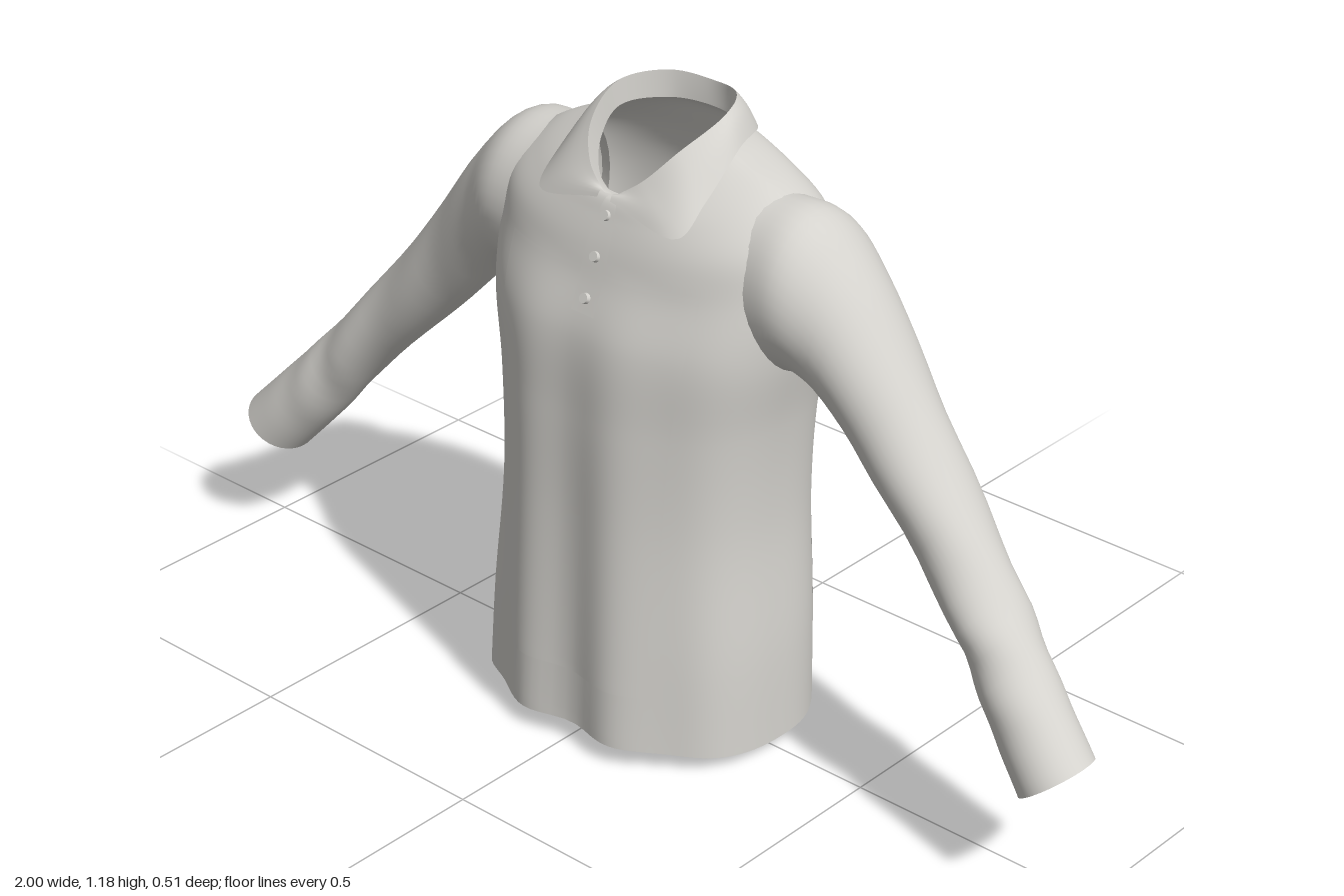
import * as THREE from 'three';

const V = (x, y, z) => new THREE.Vector3(x, y, z);
const spow = (v, e) => Math.sign(v) * Math.pow(Math.abs(v), e);
const TAU = Math.PI * 2;

// Smooth grid surface; point(u, v) with u, v in 0..1, optionally closed along u
function surface(point, nu, nv, closed) {
  const pos = [], idx = [], cols = closed ? nu : nu + 1;
  for (let j = 0; j <= nv; j++)
    for (let i = 0; i < cols; i++) pos.push(...point(i / nu, j / nv).toArray());
  for (let j = 0; j < nv; j++)
    for (let i = 0; i < nu; i++) {
      const a = j * cols + i, b = j * cols + (i + 1) % cols;
      idx.push(a, a + cols, b, b, a + cols, b + cols);
    }
  const g = new THREE.BufferGeometry();
  g.setAttribute('position', new THREE.Float32BufferAttribute(pos, 3));
  g.setIndex(idx);
  g.computeVertexNormals();
  return g;
}

// Torso rings: height at side, front, back, half width, front z, back z
const RINGS = [
  [0.015, 0.042, 0.0, 0.302, 0.247, -0.247],
  [0.2, 0.2, 0.2, 0.298, 0.236, -0.247],
  [0.45, 0.45, 0.45, 0.283, 0.218, -0.246],
  [0.65, 0.65, 0.65, 0.295, 0.205, -0.246],
  [0.8, 0.8, 0.8, 0.322, 0.188, -0.246],
  [0.92, 0.9, 0.95, 0.332, 0.15, -0.234],
  [1.02, 0.96, 1.02, 0.315, 0.13, -0.212],
  [1.075, 1.0, 1.07, 0.25, 0.113, -0.19],
  [1.11, 1.03, 1.11, 0.17, 0.098, -0.17],
  [1.13, 1.038, 1.125, 0.12, 0.085, -0.155],
];

function torsoPoint(angle, v, lift = 0) {
  const c = Math.cos(angle), s = Math.sin(angle);
  const pts = RINGS.map(([ys, yf, yb, hw, zf, zb]) => V(
    hw * spow(c, 0.8),
    ys + ((s > 0 ? yf : yb) - ys) * Math.abs(s),
    (zf + zb) / 2 + (zf - zb) / 2 * spow(s, 0.8)));
  const p = new THREE.CatmullRomCurve3(pts).getPoint(v);
  // Soft hanging folds that fade out toward the chest
  const fade = Math.max(0, 1 - v / 0.6);
  p.z += s * fade * 0.012 * Math.cos(p.x * 30 + (s > 0 ? 2.6 : 0.6) + p.y * 1.5);
  p.z += Math.sign(s) * lift;
  return p;
}

// Thin overlay that follows the torso between two angles (degrees) and two ring positions
function torsoPanel(a0, a1, r0, r1, lift, nu, nv) {
  return surface((u, v) => torsoPoint(THREE.MathUtils.degToRad(a1 + (a0 - a1) * u),
    (r0 + (r1 - r0) * v) / (RINGS.length - 1), lift), nu, nv, false);
}

// Sleeve sections: upper x, y, lower x, y, z centre, z half depth
const SLEEVE = [
  [0.24, 1.07, 0.27, 0.74, -0.045, 0.125],
  [0.33, 1.06, 0.335, 0.765, -0.05, 0.132],
  [0.42, 0.98, 0.39, 0.735, -0.055, 0.114],
  [0.58, 0.765, 0.51, 0.615, -0.048, 0.09],
  [0.79, 0.51, 0.715, 0.41, -0.015, 0.077],
  [0.9, 0.39, 0.81, 0.29, 0.015, 0.075],
  [1.0, 0.285, 0.89, 0.2, 0.04, 0.075],
];

function sleeveGeometry(side) {
  return surface((u, v) => {
    const a = side * u * TAU, k = Math.cos(a);
    const pts = SLEEVE.map(([ux, uy, lx, ly, zc, hz]) => V(
      side * ((ux + lx) / 2 + (ux - lx) / 2 * k),
      (uy + ly) / 2 + (uy - ly) / 2 * k,
      zc + hz * Math.sin(a)));
    const p = new THREE.CatmullRomCurve3(pts).getPoint(v);
    // Faint creases around the elbow
    const elbow = Math.exp(-Math.pow((v - 0.65) / 0.18, 2));
    p.z += 0.004 * elbow * Math.sin(v * 45 + a * 2 * side);
    return p;
  }, 36, 36, true);
}

// Collar line: one half from front to back, mirrored into a full loop
function collarCurve(half) {
  const left = half.map(p => V(...p));
  const right = half.slice(0, -1).map(([x, y, z]) => V(-x, y, z)).reverse();
  return new THREE.CatmullRomCurve3([...left, ...right]);
}

function collarGeometries() {
  const seam = collarCurve([[0.01, 1.035, 0.09], [0.06, 1.052, 0.066], [0.1, 1.09, 0.02],
    [0.118, 1.125, -0.05], [0.075, 1.125, -0.135], [0, 1.125, -0.155]]);
  const fold = collarCurve([[0.012, 1.045, 0.108], [0.06, 1.08, 0.09], [0.1, 1.13, 0.045],
    [0.12, 1.172, -0.05], [0.075, 1.177, -0.135], [0, 1.17, -0.162]]);
  const edge = collarCurve([[0.015, 1.04, 0.122], [0.16, 1.012, 0.112], [0.17, 1.06, 0.055],
    [0.157, 1.125, -0.05], [0.1, 1.115, -0.163], [0, 1.1, -0.186]]);
  const between = (a, b, bulge) => surface((u, v) => {
    const p = a.getPoint(u).lerp(b.getPoint(u), v);
    p.y += bulge * Math.sin(v * Math.PI);
    return p;
  }, 80, 6, false);
  return { stand: between(seam, fold, 0), leaf: between(fold, edge, 0.008) };
}

export function createModel() {
  const shirt = new THREE.Group();
  shirt.name = 'poloShirt';
  const fabric = new THREE.MeshStandardMaterial({ color: 0xd4d2cd, side: THREE.DoubleSide });
  fabric.name = 'paleGreyFabric';
  const add = (name, geometry) => {
    const mesh = new THREE.Mesh(geometry, fabric);
    mesh.name = name;
    shirt.add(mesh);
    return mesh;
  };

  // Body, open at hem and neck
  add('torso', surface((u, v) => torsoPoint(-u * TAU, v), 120, 60, true));

  // Stitched panels and button placket
  add('frontPanel', torsoPanel(54, 126, 0.7, 5.2, 0.003, 48, 40));
  add('backPanel', torsoPanel(227, 313, 0.7, 5.2, 0.003, 48, 40));
  add('placket', torsoPanel(87.5, 92.5, 4.4, 8.9, 0.006, 6, 20));

  // Sleeves
  add('leftSleeve', sleeveGeometry(1));
  add('rightSleeve', sleeveGeometry(-1));

  // Folded collar
  const collar = collarGeometries();
  add('collarStand', collar.stand);
  add('collarLeaf', collar.leaf);

  // Buttons
  for (const [y, z] of [[1.008, 0.118], [0.94, 0.146], [0.87, 0.172]]) {
    const button = add('button', new THREE.CylinderGeometry(0.009, 0.01, 0.008, 16));
    button.position.set(0, y, z);
    button.rotation.x = 1.15;
  }
  return shirt;
}
